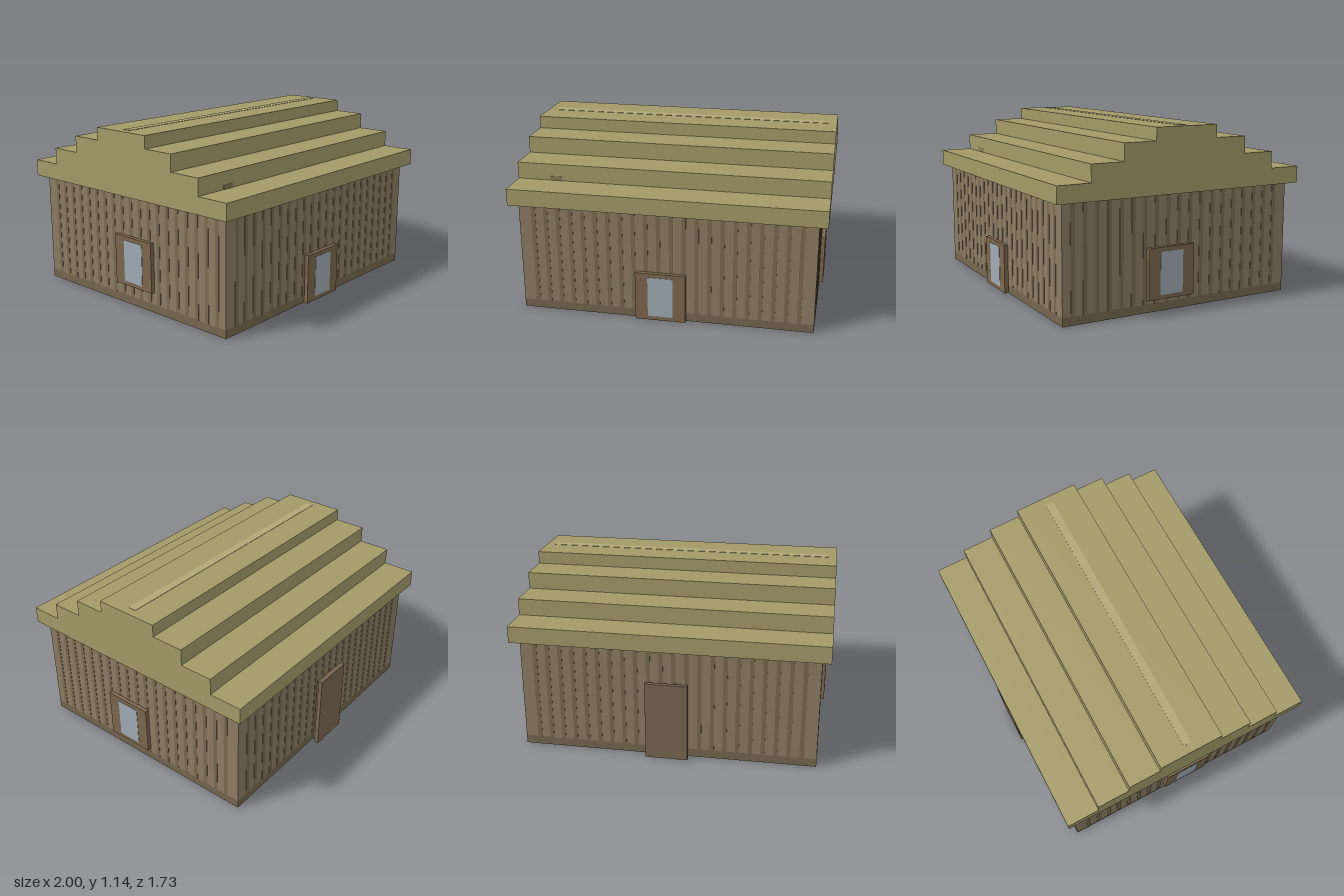
import * as THREE from 'three';

// All sizes are in small cubes: 74 of them span the 2 unit roof
const U = 2 / 74;
const PROUD = 0.08; // lifts surface colour patches clear of the face below

const material = (color) => new THREE.MeshStandardMaterial({ color, flatShading: true });
const MAT = {
  wall: material(0x8c7c62),
  groove: material(0x786a50),
  base: material(0x75664e),
  frame: material(0x7c674c),
  glass: material(0x9eabb4),
  door: material(0x78674f),
  roof: material(0xa39a68),
  ridge: material(0xb0a778),
  patch: material(0x857a58),
};

// Box given by its lower and upper corners
function box(parent, name, mat, [x0, y0, z0], [x1, y1, z1]) {
  const geometry = new THREE.BoxGeometry((x1 - x0) * U, (y1 - y0) * U, (z1 - z0) * U);
  geometry.translate(((x0 + x1) / 2) * U, ((y0 + y1) / 2) * U, ((z0 + z1) / 2) * U);
  const mesh = new THREE.Mesh(geometry, mat);
  mesh.name = name;
  parent.add(mesh);
}

// Framed pane, 12 x 12, facing +z with its lower left corner at the origin
function framedPane(name) {
  const group = new THREE.Group();
  group.name = name;
  box(group, 'frame', MAT.frame, [0, 0, 0], [12, 12, 1]);
  box(group, 'glass', MAT.glass, [3, 1, 0.5], [9, 11, 1 + PROUD]);
  return group;
}

export function createModel() {
  const model = new THREE.Group();
  model.name = 'cabin';

  // Walls on a darker base course
  const walls = new THREE.Group();
  walls.name = 'walls';
  model.add(walls);
  box(walls, 'baseCourse', MAT.base, [-35, 0, -30], [35, 2, 30]);
  box(walls, 'wallBlock', MAT.wall, [-35, 2, -30], [35, 27, 30]);

  // Plank grooves, each running through to the opposite wall
  for (let x = -32; x < 34; x += 3) {
    box(walls, 'plankGroove', MAT.groove, [x, 2, -30 - PROUD], [x + 1, 27, 30 + PROUD]);
  }
  for (let z = -27; z < 30; z += 3) {
    box(walls, 'plankGroove', MAT.groove, [-35 - PROUD, 2, z], [35 + PROUD, 27, z + 1]);
  }

  // Stepped roof: half profile mirrored, extruded along x
  const half = [[32, 27], [32, 31], [24, 31], [24, 35], [16, 35], [16, 39], [8, 39], [8, 42]];
  const outline = [...half, ...half.map(([z, y]) => [-z, y]).reverse()];
  const shape = new THREE.Shape(outline.map(([z, y]) => new THREE.Vector2(z * U, y * U)));
  const roofGeometry = new THREE.ExtrudeGeometry(shape, { depth: 74 * U, bevelEnabled: false });
  roofGeometry.translate(0, 0, -37 * U).rotateY(Math.PI / 2);
  const roof = new THREE.Mesh(roofGeometry, MAT.roof);
  roof.name = 'roof';
  model.add(roof);
  box(model, 'ridgeStrip', MAT.ridge, [-35, 41.5, -1], [35, 42 + PROUD, 1]);
  box(model, 'roofPatch', MAT.patch, [-29, 31, 23], [-26, 32, 24 + PROUD]);

  // Front glazed door
  const frontDoor = framedPane('frontDoor');
  frontDoor.position.set(-7 * U, 0, 30 * U);
  model.add(frontDoor);

  // Side windows
  const leftWindow = framedPane('leftWindow');
  leftWindow.rotation.y = Math.PI / 2;
  leftWindow.position.set(35 * U, 3 * U, 9 * U);
  model.add(leftWindow);
  const rightWindow = framedPane('rightWindow');
  rightWindow.rotation.y = -Math.PI / 2;
  rightWindow.position.set(-35 * U, 5 * U, -4 * U);
  model.add(rightWindow);

  // Back door: a slab over a slightly smaller frame
  const backDoor = new THREE.Group();
  backDoor.name = 'backDoor';
  model.add(backDoor);
  box(backDoor, 'doorFrame', MAT.frame, [-4, 0, -31], [4, 18, -30]);
  box(backDoor, 'doorSlab', MAT.door, [-5, 0, -32], [5, 19, -31]);

  return model;
}
